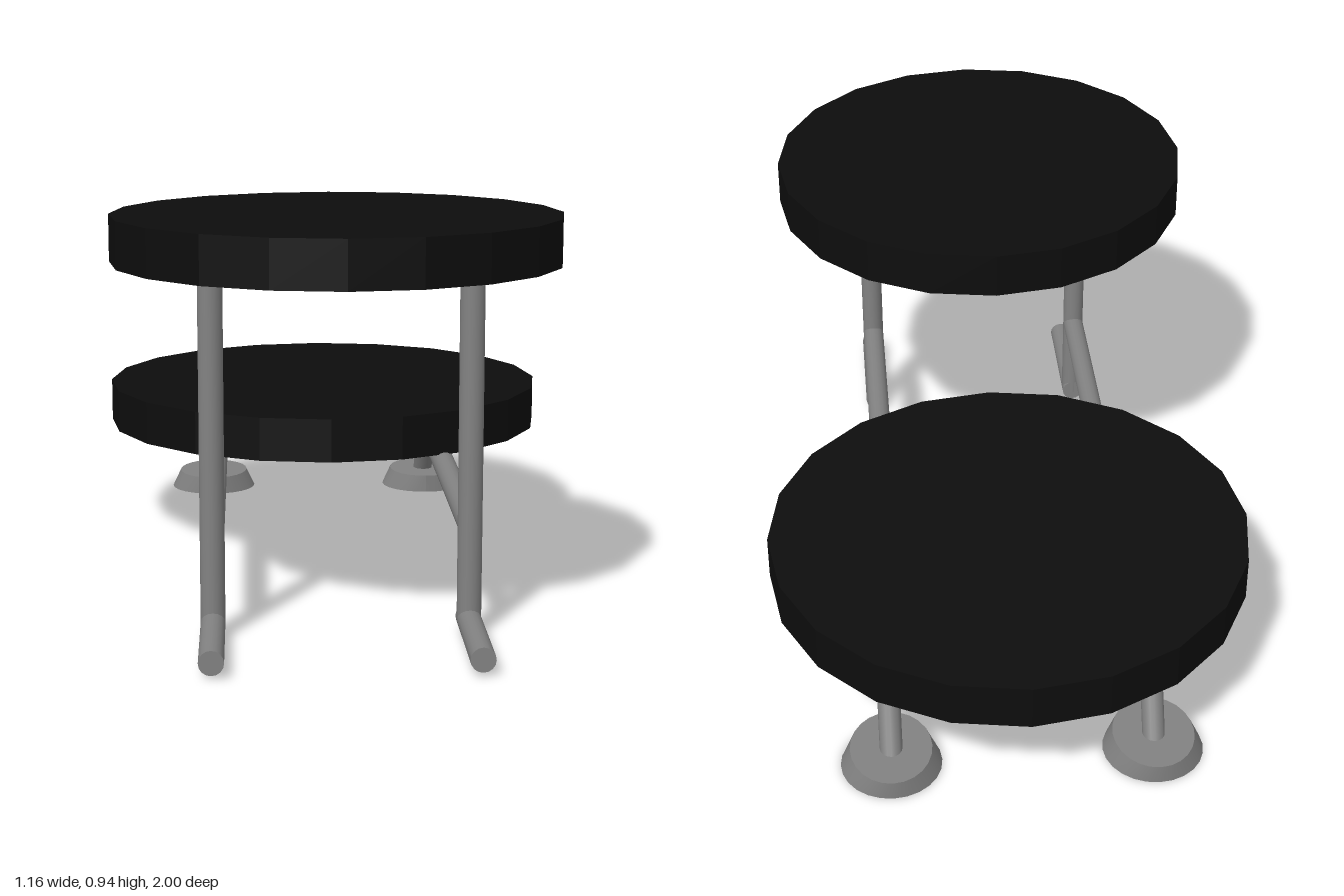
import * as THREE from 'three';

export function createModel() {
  const group = new THREE.Group();
  const black = new THREE.MeshStandardMaterial({ color: 0x0d0d0d });
  black.name = 'black pad';
  black.flatShading = true;
  const grey = new THREE.MeshStandardMaterial({ color: 0x828282 });
  grey.name = 'grey metal';

  const add = (name, geometry, material, x = 0, y = 0, z = 0) => {
    const mesh = new THREE.Mesh(geometry, material);
    mesh.name = name;
    mesh.position.set(x, y, z);
    group.add(mesh);
    return mesh;
  };

  // Straight round bar between two points
  const bar = (name, from, to, radius = 0.028) => {
    const a = new THREE.Vector3(...from), b = new THREE.Vector3(...to);
    const dir = b.clone().sub(a);
    const mesh = add(name, new THREE.CylinderGeometry(radius, radius, dir.length(), 16), grey);
    mesh.position.copy(a).add(b).multiplyScalar(0.5);
    mesh.quaternion.setFromUnitVectors(new THREE.Vector3(0, 1, 0), dir.normalize());
  };

  // Two round twenty-sided pads
  add('upperPad', new THREE.CylinderGeometry(0.525, 0.525, 0.11, 20), black, 0, 0.882, 0.463);
  add('lowerPad', new THREE.CylinderGeometry(0.582, 0.582, 0.11, 20), black, 0, 0.335, -0.418);

  // Foot cup: the top is narrowed across x only
  const footGeometry = new THREE.CylinderGeometry(0.12, 0.12, 0.048, 24);
  const p = footGeometry.attributes.position;
  for (let i = 0; i < p.count; i++) if (p.getY(i) > 0) p.setX(i, p.getX(i) * 0.81);
  footGeometry.computeVertexNormals();

  for (const [side, s] of [['left', 1], ['right', -1]]) {
    const x = 0.29 * s, fx = 0.311 * s;
    // Bent tube frame
    bar(side + 'FloorRunner', [x, 0.036, 0.675], [x, 0.036, 1]);
    bar(side + 'Upright', [x, 0.03, 0.702], [x, 0.83, 0.702]);
    bar(side + 'TopRail', [x, 0.818, 0.702], [x, 0.818, 0.22]);
    bar(side + 'LowerRail', [x, 0.257, 0.702], [x, 0.257, -0.213]);
    // Slanted back strut on its foot
    bar(side + 'BackStrut', [fx, 0.3, -0.648], [fx, 0.03, -0.807], 0.027);
    add(side + 'FootCup', footGeometry, grey, fx, 0.024, -0.795);
  }
  bar('crossBar', [-0.315, 0.818, 0.22], [0.315, 0.818, 0.22]);

  return group;
}
